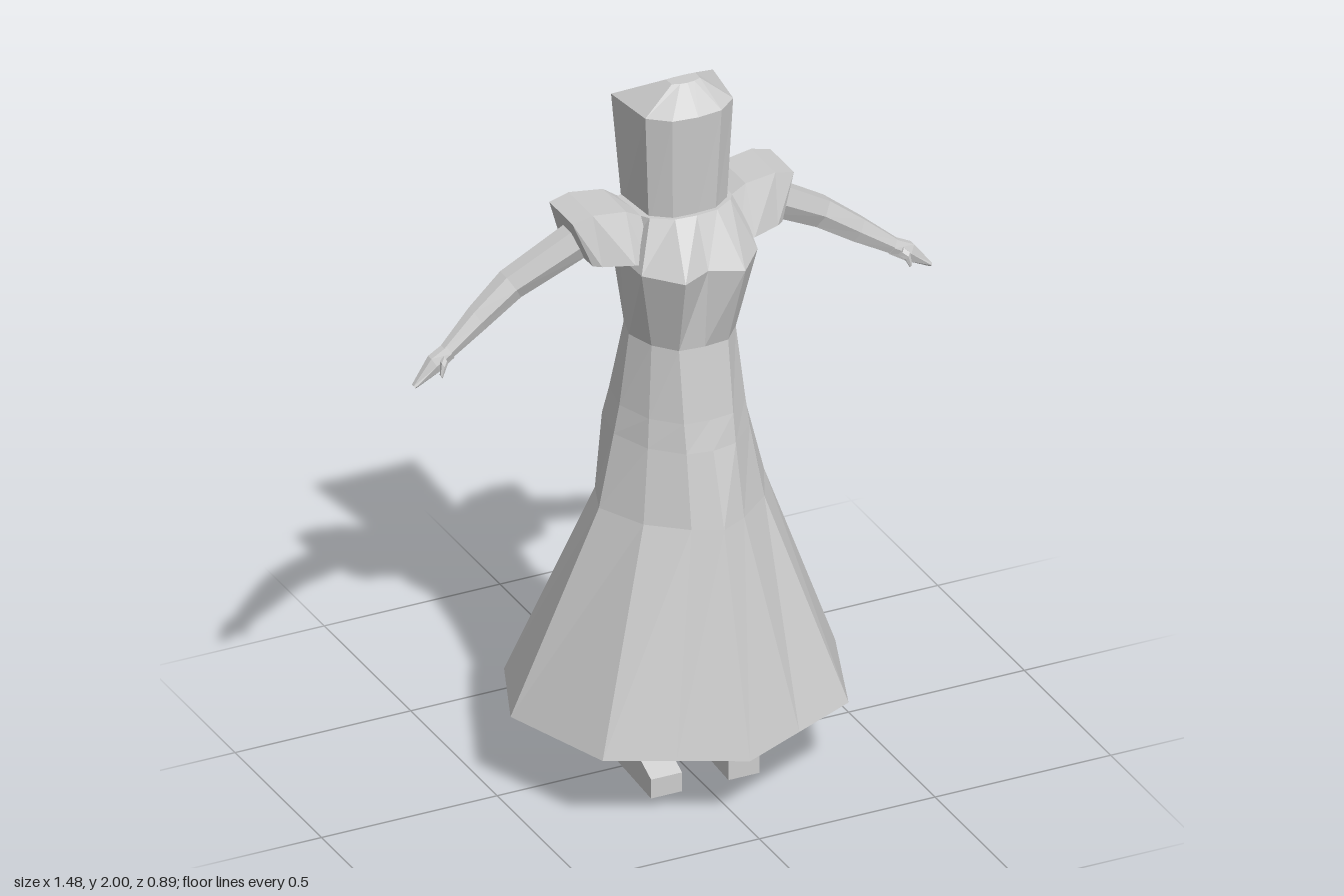
import * as THREE from 'three';

const grey = new THREE.MeshStandardMaterial({ color: 0xcccccc, flatShading: true });
grey.name = 'plain grey';

// Closed faceted solid through a list of rings of [x, y, z]; faces always point outward
function loft(name, rings) {
  const tris = [];
  const n = rings[0].length;
  const mid = (r) => [0, 1, 2].map((k) => r.reduce((s, p) => s + p[k], 0) / n);
  const first = rings[0], last = rings[rings.length - 1];
  const c0 = mid(first), c1 = mid(last);
  for (let i = 0; i < n; i++) {
    const j = (i + 1) % n;
    for (let r = 0; r < rings.length - 1; r++) {
      const a = rings[r], b = rings[r + 1];
      tris.push([a[i], a[j], b[j]], [a[i], b[j], b[i]]);
    }
    tris.push([c0, first[j], first[i]], [c1, last[i], last[j]]);
  }
  // Signed volume tells whether the corners must be reversed
  const v = tris.map((t) => t.map((p) => new THREE.Vector3(...p)));
  const volume = v.reduce((s, [a, b, c]) => s + a.dot(b.clone().cross(c)), 0);
  if (volume < 0) tris.forEach((t) => t.reverse());
  const geo = new THREE.BufferGeometry();
  geo.setAttribute('position', new THREE.Float32BufferAttribute(tris.flat(2), 3));
  geo.computeVertexNormals();
  const mesh = new THREE.Mesh(geo, grey);
  mesh.name = name;
  return mesh;
}

// Ring symmetric in x: front z, side points [x, z] from front to back, back z
function bodyRing(y, front, side, back, lift = 0) {
  const pts = side.map(([x, z]) => [x, y + lift * x, z]);
  const mirrored = pts.map(([x, h, z]) => [-x, h, z]).reverse();
  return [[0, y, front], ...pts, [0, y, back], ...mirrored];
}

// Box-like slice across the arm, around a centre
const armRing = ([x, y, z, up, deep, lean]) => [
  [x + lean, y + up, z + deep * 0.55], [x + lean, y + up, z - deep * 0.55],
  [x, y, z - deep], [x - lean, y - up, z - deep * 0.55],
  [x - lean, y - up, z + deep * 0.55], [x, y, z + deep],
];

export function createModel() {
  const model = new THREE.Group();
  model.name = 'figureInLongDress';

  // Skirt, from hem to waist
  const waist = bodyRing(1.28, 0.185, [[0.07, 0.178], [0.12, 0.12], [0.145, 0.04], [0.125, -0.03], [0.075, -0.08]], -0.09);
  model.add(loft('skirt', [
    bodyRing(0.2, 0.447, [[0.175, 0.376], [0.35, 0.305], [0.462, 0], [0.36, -0.245], [0.18, -0.347]], -0.447, 0.045),
    bodyRing(0.8, 0.297, [[0.075, 0.26], [0.172, 0.18], [0.235, 0.05], [0.195, -0.055], [0.11, -0.15]], -0.18),
    bodyRing(1.0, 0.235, [[0.07, 0.222], [0.145, 0.15], [0.188, 0.04], [0.165, -0.075], [0.1, -0.165]], -0.197),
    bodyRing(1.08, 0.215, [[0.07, 0.207], [0.137, 0.14], [0.172, 0.04], [0.152, -0.06], [0.093, -0.14]], -0.165),
    waist,
  ]));

  // Bodice, from waist over the bust to the neck
  model.add(loft('bodice', [
    waist,
    bodyRing(1.51, 0.205, [[0.085, 0.247], [0.165, 0.155], [0.17, 0.04], [0.16, -0.03], [0.09, -0.085]], -0.095),
    bodyRing(1.64, 0.14, [[0.06, 0.135], [0.115, 0.1], [0.155, 0.04], [0.14, -0.04], [0.07, -0.075]], -0.08),
  ]));

  // Head with a bevelled crown
  model.add(loft('head', [
    bodyRing(1.6, 0.125, [[0.06, 0.122], [0.11, 0.085], [0.122, -0.045], [0.045, -0.045]], -0.04),
    bodyRing(1.93, 0.148, [[0.07, 0.14], [0.125, 0.095], [0.145, -0.063], [0.055, -0.063]], -0.063),
    bodyRing(2.0, 0.085, [[0.02, 0.083], [0.04, 0.075], [0.042, 0.045], [0.02, 0.043]], 0.043),
  ]));

  for (const [side, s] of [['left', 1], ['right', -1]]) {
    const mirror = (rings) => rings.map((r) => r.map(([x, y, z]) => [s * x, y, z]));

    // Puffed shoulder sleeve
    model.add(loft(side + 'Sleeve', mirror([
      [[0.11, 1.63, 0.08], [0.11, 1.62, -0.05], [0.13, 1.52, -0.07], [0.13, 1.5, 0.02], [0.13, 1.52, 0.12]],
      [[0.17, 1.66, 0.075], [0.17, 1.66, -0.06], [0.17, 1.53, -0.11], [0.17, 1.5, 0.01], [0.17, 1.53, 0.13]],
      [[0.26, 1.665, 0.065], [0.26, 1.665, -0.075], [0.25, 1.53, -0.127], [0.24, 1.51, 0.0], [0.25, 1.53, 0.1]],
      [[0.315, 1.65, 0.06], [0.315, 1.65, -0.075], [0.27, 1.53, -0.11], [0.255, 1.51, 0.0], [0.27, 1.53, 0.085]],
    ])));

    // Arm tapering to a pointed hand
    model.add(loft(side + 'Arm', mirror([
      [0.25, 1.57, -0.01, 0.042, 0.042, 0.02],
      [0.44, 1.455, -0.045, 0.033, 0.036, 0.02],
      [0.54, 1.385, -0.035, 0.028, 0.028, 0.016],
      [0.64, 1.318, -0.015, 0.017, 0.018, 0.01],
    ].map(armRing))));
    model.add(loft(side + 'Hand', mirror([
      [0.63, 1.322, -0.016, 0.018, 0.019, 0.011],
      [0.675, 1.298, -0.01, 0.021, 0.018, 0.012],
      [0.735, 1.248, -0.005, 0.004, 0.009, 0.003],
    ].map(armRing))));
    model.add(loft(side + 'Thumb', mirror([
      [0.648, 1.31, 0.0, 0.01, 0.012, 0.006],
      [0.66, 1.3, 0.012, 0.009, 0.01, 0.006],
      [0.668, 1.272, 0.018, 0.004, 0.005, 0.003],
    ].map(armRing))));

    // Leg
    const leg = new THREE.Mesh(new THREE.BoxGeometry(0.055, 0.25, 0.095), grey);
    leg.position.set(s * 0.11, 0.225, 0.005);
    leg.name = side + 'Leg';
    model.add(leg);

    // Shoe: side profile [z, y] swept across its width
    const profile = [[0.187, 0], [0.187, 0.055], [0.06, 0.112], [-0.055, 0.122], [-0.068, 0.018]];
    model.add(loft(side + 'Shoe', [0.066, 0.154].map((x) => profile.map(([z, y]) => [s * x, y, z]))));
  }
  return model;
}
